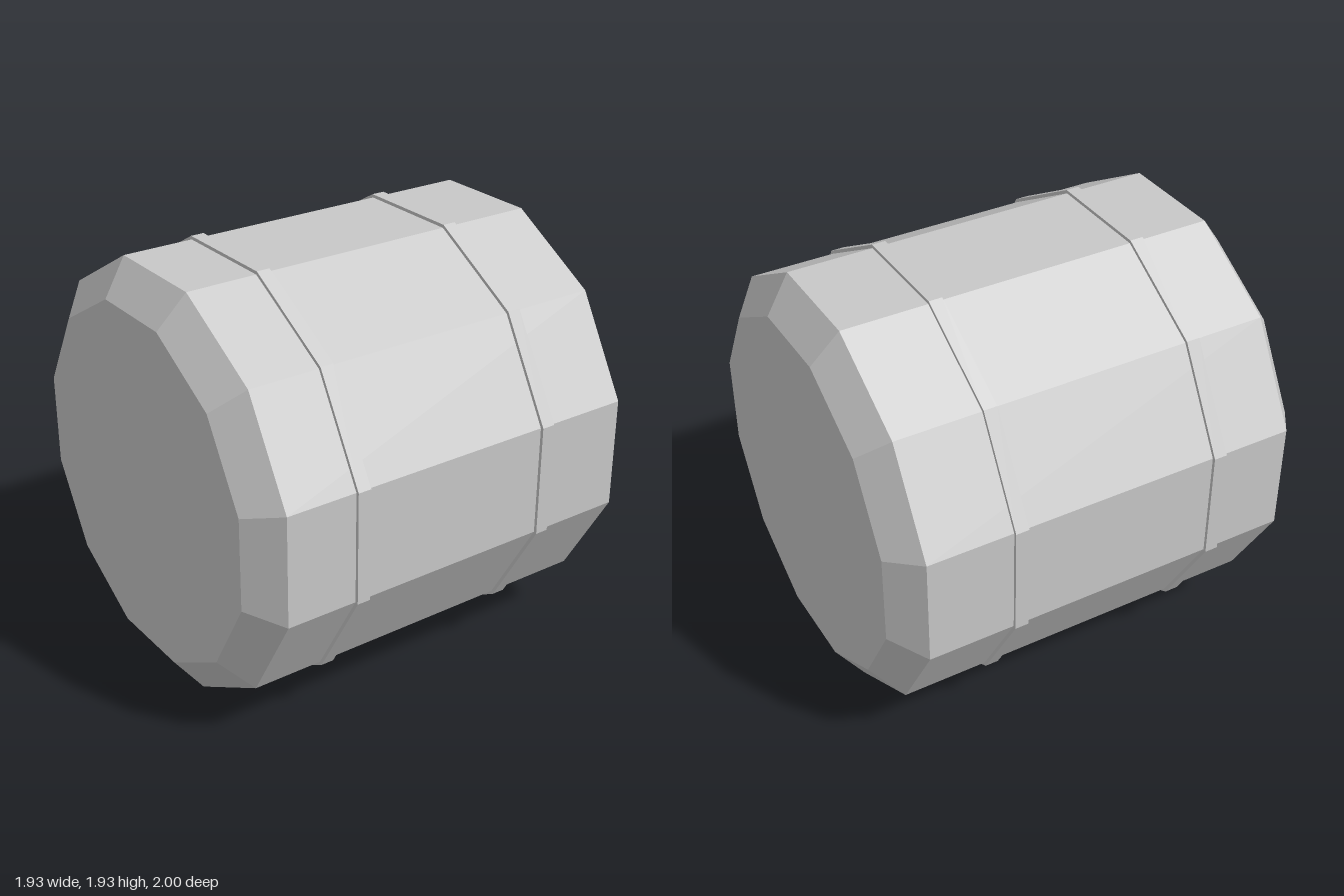
import * as THREE from 'three';

const SIDES = 12;
const CENTRE_Y = 0.967;

// Twelve-sided lathe lying along z; profile is [apothem, z] from back to front
function prism(profile) {
  const toCorner = 1 / Math.cos(Math.PI / SIDES);
  const points = profile.map(([r, z]) => new THREE.Vector2(r * toCorner, z));
  return new THREE.LatheGeometry(points, SIDES, Math.PI / SIDES).rotateX(Math.PI / 2);
}

export function createModel() {
  const model = new THREE.Group();
  model.name = 'barrel';
  const grey = new THREE.MeshStandardMaterial({ color: 0xc8c8c8, flatShading: true });
  grey.name = 'light grey';

  const add = (name, profile) => {
    const mesh = new THREE.Mesh(prism(profile), grey);
    mesh.name = name;
    mesh.position.y = CENTRE_Y;
    model.add(mesh);
  };

  // Closed body with chamfered ends
  add('body', [[0, -1], [0.795, -1], [0.952, -0.88], [0.952, 0.88], [0.795, 1], [0, 1]]);

  // Thin raised hoops around the body
  for (const [name, z] of [['frontHoop', 0.519], ['backHoop', -0.454]]) {
    add(name, [[0.94, z - 0.031], [0.967, z - 0.031], [0.967, z + 0.031], [0.94, z + 0.031]]);
  }
  return model;
}
